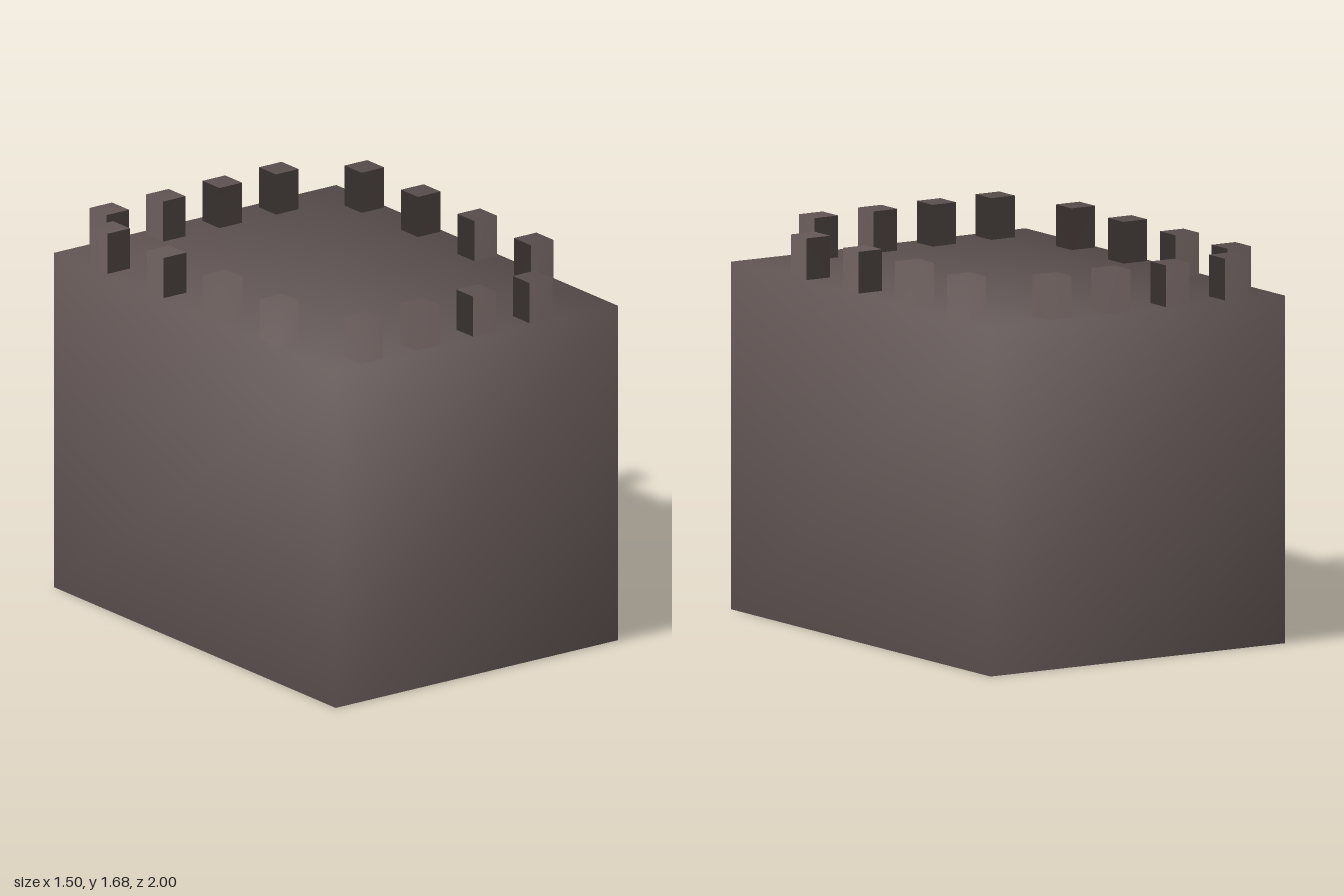
import * as THREE from 'three';

const stone = new THREE.MeshStandardMaterial({ color: 0x615553 });

// Box standing on a given height, with soft normals fanning out from the base centre
function block(name, w, h, d, x, y, z) {
  const geo = new THREE.BoxGeometry(w, h, d).translate(x, y + h / 2, z);
  const pos = geo.attributes.position;
  const n = new THREE.Vector3();
  for (let i = 0; i < pos.count; i++) {
    n.fromBufferAttribute(pos, i).normalize();
    geo.attributes.normal.setXYZ(i, n.x, n.y, n.z);
  }
  const mesh = new THREE.Mesh(geo, stone);
  mesh.name = name;
  return mesh;
}

export function createModel() {
  const model = new THREE.Group();
  model.name = 'castleKeep';

  // Main solid body
  const wallTop = 1.5;
  model.add(block('keepBody', 1.5, wallTop, 2, 0, 0, 0));

  // Merlons around the roof edge
  const size = 0.12, height = 0.18;
  const battlements = new THREE.Group();
  battlements.name = 'battlements';
  for (const side of [-1, 1]) {
    for (let i = 0; i < 4; i++) {
      // Front and back rows
      battlements.add(block(side > 0 ? 'frontMerlon' : 'backMerlon',
        size, height, size, -0.53 + i * 0.3, wallTop, side * 0.9));
      // Left and right rows
      battlements.add(block(side > 0 ? 'leftMerlon' : 'rightMerlon',
        size, height, size, side * 0.675, wallTop, -0.7 + i * 0.4));
    }
  }
  model.add(battlements);
  return model;
}
